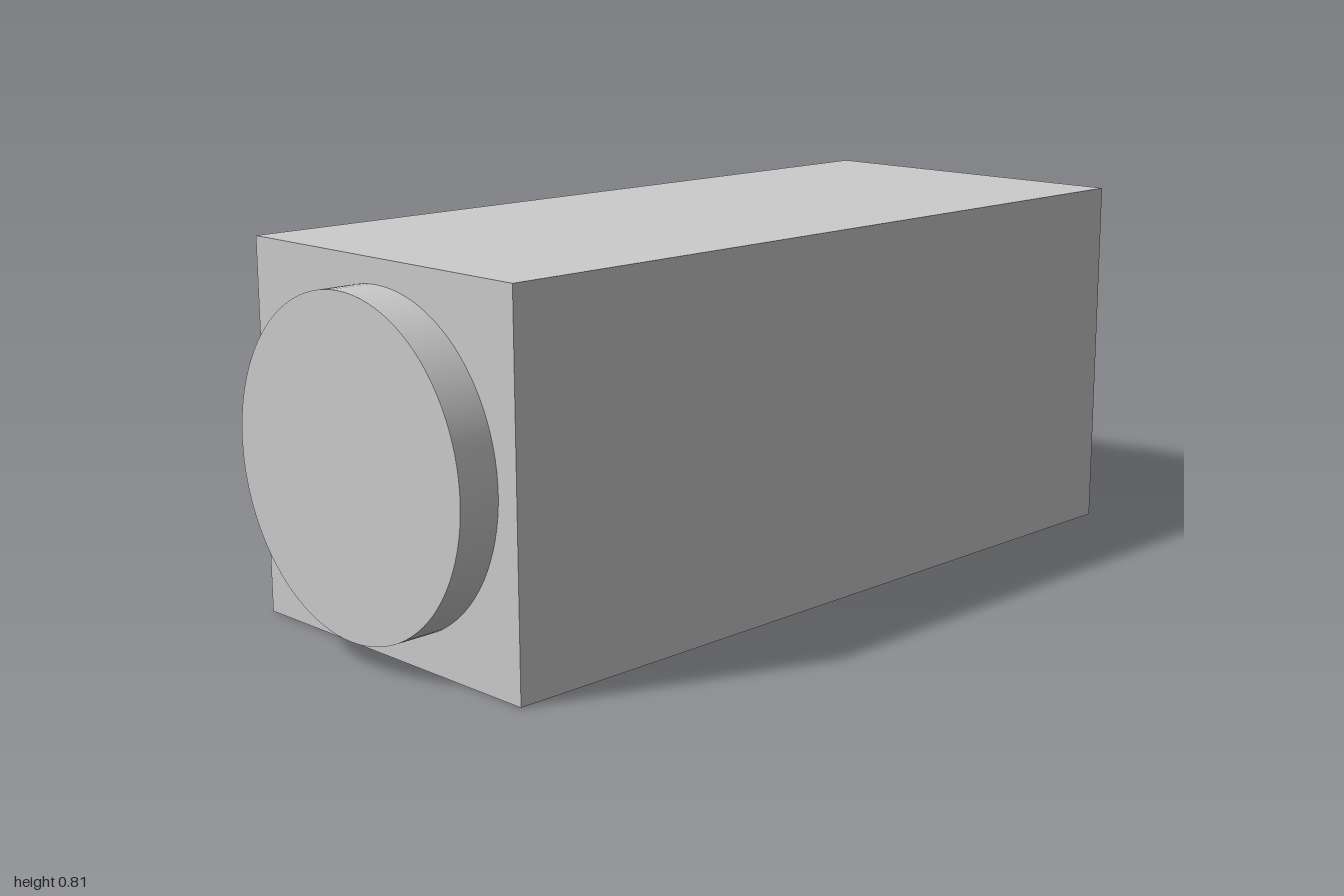
import * as THREE from 'three';

const SIZE = 0.805;          // width and height of the square block
const FRONT = 0.91, BACK = -0.925;
const RADIUS = 0.35;

export function createModel() {
  const model = new THREE.Group();
  const material = new THREE.MeshStandardMaterial({ color: 0xcccccc });

  // Long square block
  const body = new THREE.Mesh(new THREE.BoxGeometry(SIZE, SIZE, FRONT - BACK), material);
  body.name = 'body';
  body.position.set(0, SIZE / 2, (FRONT + BACK) / 2);
  model.add(body);

  // Round boss on each end, from the block face out to z = +-1
  const addBoss = (name, face, end) => {
    const geometry = new THREE.CylinderGeometry(RADIUS, RADIUS, Math.abs(end - face), 96);
    geometry.rotateX(Math.PI / 2);
    const boss = new THREE.Mesh(geometry, material);
    boss.name = name;
    boss.position.set(0, SIZE / 2, (face + end) / 2);
    model.add(boss);
  };
  addBoss('frontBoss', FRONT, 1);
  addBoss('backBoss', BACK, -1);

  return model;
}
